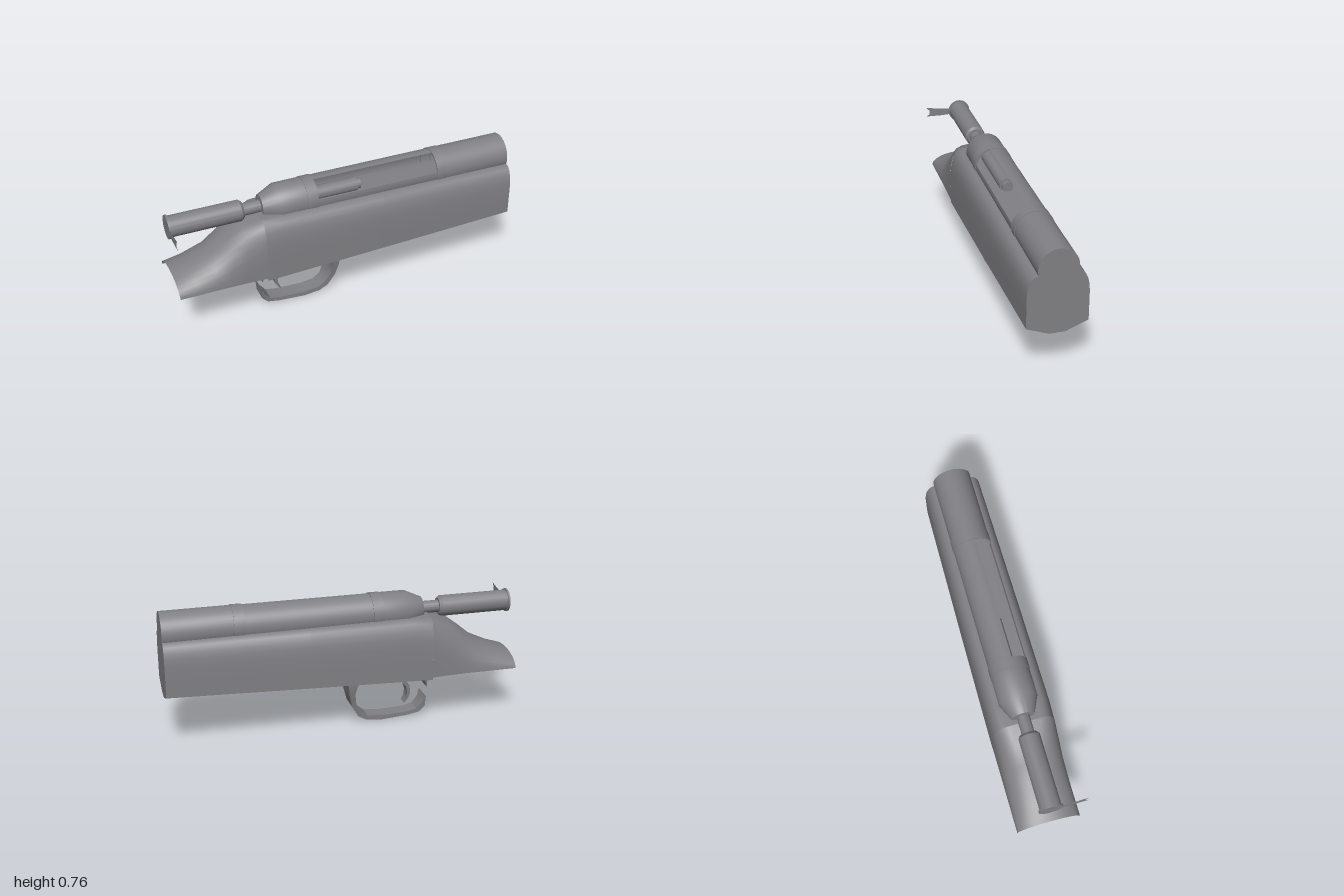
import * as THREE from 'three';
import { toCreasedNormals } from 'three/addons/utils/BufferGeometryUtils.js';

const CZ = -0.0165;   // shared centre line in z
const AXIS = 0.652;   // height of the tube axis
const steel = new THREE.MeshStandardMaterial({ color: 0x818185, side: THREE.DoubleSide });
steel.name = 'grey';

// Skin over rows of [x, y, z] points
function loft(rows, crease = 0.5) {
  const n = rows[0].length, pos = rows.flat(2), idx = [];
  for (let i = 0; i < rows.length - 1; i++)
    for (let j = 0; j < n - 1; j++) {
      const a = i * n + j, b = a + n;
      idx.push(a, b, a + 1, b, b + 1, a + 1);
    }
  const g = new THREE.BufferGeometry();
  g.setAttribute('position', new THREE.Float32BufferAttribute(pos, 3));
  g.setIndex(idx);
  return toCreasedNormals(g, crease);
}

// Turned part along x from [x, radius] points; angle 0 faces +z, 90 faces up
function turned(points, start = 0, length = 360) {
  const p = points.map(([x, r]) => new THREE.Vector2(r, -x)).reverse();
  const g = new THREE.LatheGeometry(p, 40, THREE.MathUtils.degToRad(start), THREE.MathUtils.degToRad(length));
  return toCreasedNormals(g.rotateZ(Math.PI / 2).translate(0, AXIS, CZ), 0.6);
}

// Strap of varying width from [outerX, outerY, innerX, innerY, halfWidth] stations
function strap(stations) {
  const rows = stations.map(([ox, oy, ix, iy, w]) => [
    [ox, oy, CZ + w], [ox, oy, CZ - w], [ix, iy, CZ - w], [ix, iy, CZ + w], [ox, oy, CZ + w]]);
  return loft(rows);
}

// Flat plate facing along x from [z, y] corners
function plate(x, corners) {
  const s = new THREE.Shape(corners.map(([z, y]) => new THREE.Vector2(-z, y)));
  return new THREE.ShapeGeometry(s).rotateY(Math.PI / 2).translate(x, 0, 0);
}

export function createModel() {
  const model = new THREE.Group();
  const add = (name, geometry) => {
    const m = new THREE.Mesh(geometry, steel);
    m.name = name;
    model.add(m);
  };

  // Stock half outline: [width share, height share], squared body and arched tail
  const body = [[1, 0], [1, 0.3], [1, 0.58], [0.975, 0.73], [0.93, 0.84], [0.84, 0.94], [0.72, 0.995], [0.55, 1], [0.25, 1], [0, 1]];
  const arch = body.map((_, i) => {
    const a = i / (body.length - 1) * Math.PI / 2;
    return [Math.cos(a), Math.sin(a)];
  });
  const outline = ([x, low, top, w, t]) => {
    const half = body.map(([bw, bh], i) => [
      w * THREE.MathUtils.lerp(bw, arch[i][0], t),
      low + (top - low) * THREE.MathUtils.lerp(bh, arch[i][1], t)]);
    const right = half.map(([z, y]) => [x, y, CZ + z]);
    const left = half.slice(0, -1).reverse().map(([z, y]) => [x, y, CZ - z]);
    return [...right, ...left];
  };
  // Stations: x, lower edge, top, half width, tail blend
  const tail = [
    [-1, 0.295, 0.368, 0.178, 1], [-0.9, 0.295, 0.405, 0.178, 1], [-0.78, 0.295, 0.463, 0.178, 0.95],
    [-0.7, 0.295, 0.53, 0.178, 0.8], [-0.61, 0.293, 0.598, 0.178, 0.5], [-0.5, 0.29, 0.63, 0.178, 0.12]];
  const fore = [[-0.5, 0.275, 0.63, 0.178, 0.12], [-0.4, 0.279, 0.632, 0.178, 0],
    [0.2, 0.299, 0.627, 0.173, 0], [1, 0.326, 0.62, 0.163, 0]];
  add('stockTail', loft(tail.map(outline), 0.8));
  add('stockBody', loft(fore.map(outline), 0.8));

  // Underside of the stock and its front face
  const bottom = ([x, low, , w]) => {
    const y = low - 0.042 - (x + 0.5) * 0.0045;
    return [[x, low, CZ - w], [x, y, CZ - 0.043], [x, y, CZ + 0.043], [x, low, CZ + w]];
  };
  add('stockUnderside', loft(fore.map(bottom), 0.1));
  const last = fore[fore.length - 1];
  add('stockFrontFace', plate(1, [...outline(last), ...bottom(last).slice(1, 3)].map(([, y, z]) => [z, y])));

  // Receiver, slotted chamber and barrel
  add('receiverRear', turned([[-0.475, 0.034], [-0.475, 0.063], [-0.38, 0.107], [-0.22, 0.107]]));
  add('chamber', turned([[-0.17, 0.106], [0.55, 0.106]], 78, 292));
  add('barrel', turned([[0.6, 0.107], [1, 0.107], [1, 0]]));
  for (const x of [-0.23, 0.55])
    add('receiverBand', turned([[x, 0.1], [x, 0.11], [x + 0.06, 0.11], [x + 0.06, 0.1]]));

  // Bolt: rear sleeve with lip, neck, and the rod inside the chamber
  add('boltSleeve', turned([[-0.996, 0], [-0.996, 0.066], [-0.985, 0.066], [-0.985, 0.059],
    [-0.59, 0.059], [-0.575, 0.048], [-0.575, 0.034]]));
  add('boltNeck', turned([[-0.58, 0.035], [-0.47, 0.035]]));
  add('boltRod', turned([[-0.3, 0.04], [0.09, 0.04], [0.09, 0.03], [0.115, 0.03], [0.115, 0]]));
  add('boltHandleStub', plate(-0.995, [[0.03, 0.667], [0.03, 0.632], [0.095, 0.63], [0.192, 0.632],
    [0.172, 0.645], [0.172, 0.67], [0.192, 0.69], [0.095, 0.675]]));

  // Trigger guard, with its cut rear edge, and trigger
  add('triggerGuard', strap([
    [-0.03, 0.27, -0.105, 0.27, 0.083], [-0.034, 0.235, -0.085, 0.235, 0.082], [-0.041, 0.18, -0.074, 0.19, 0.073],
    [-0.058, 0.11, -0.084, 0.12, 0.059], [-0.1, 0.038, -0.113, 0.068, 0.047], [-0.15, 0.01, -0.155, 0.037, 0.044],
    [-0.24, 0, -0.24, 0.027, 0.044], [-0.4, 0.012, -0.395, 0.034, 0.044], [-0.465, 0.024, -0.45, 0.046, 0.044],
    [-0.5, 0.06, -0.483, 0.083, 0.05], [-0.502, 0.125, -0.5, 0.125, 0.06]]));
  add('guardRearEdge', strap([[-0.502, 0.19, -0.5, 0.19, 0.07], [-0.502, 0.245, -0.484, 0.245, 0.08]]));
  add('trigger', strap([
    [-0.36, 0.255, -0.32, 0.255, 0.035], [-0.385, 0.226, -0.36, 0.22, 0.035], [-0.41, 0.19, -0.387, 0.187, 0.033],
    [-0.416, 0.145, -0.398, 0.148, 0.03], [-0.405, 0.11, -0.392, 0.113, 0.027], [-0.383, 0.083, -0.377, 0.085, 0.025]]));
  return model;
}
